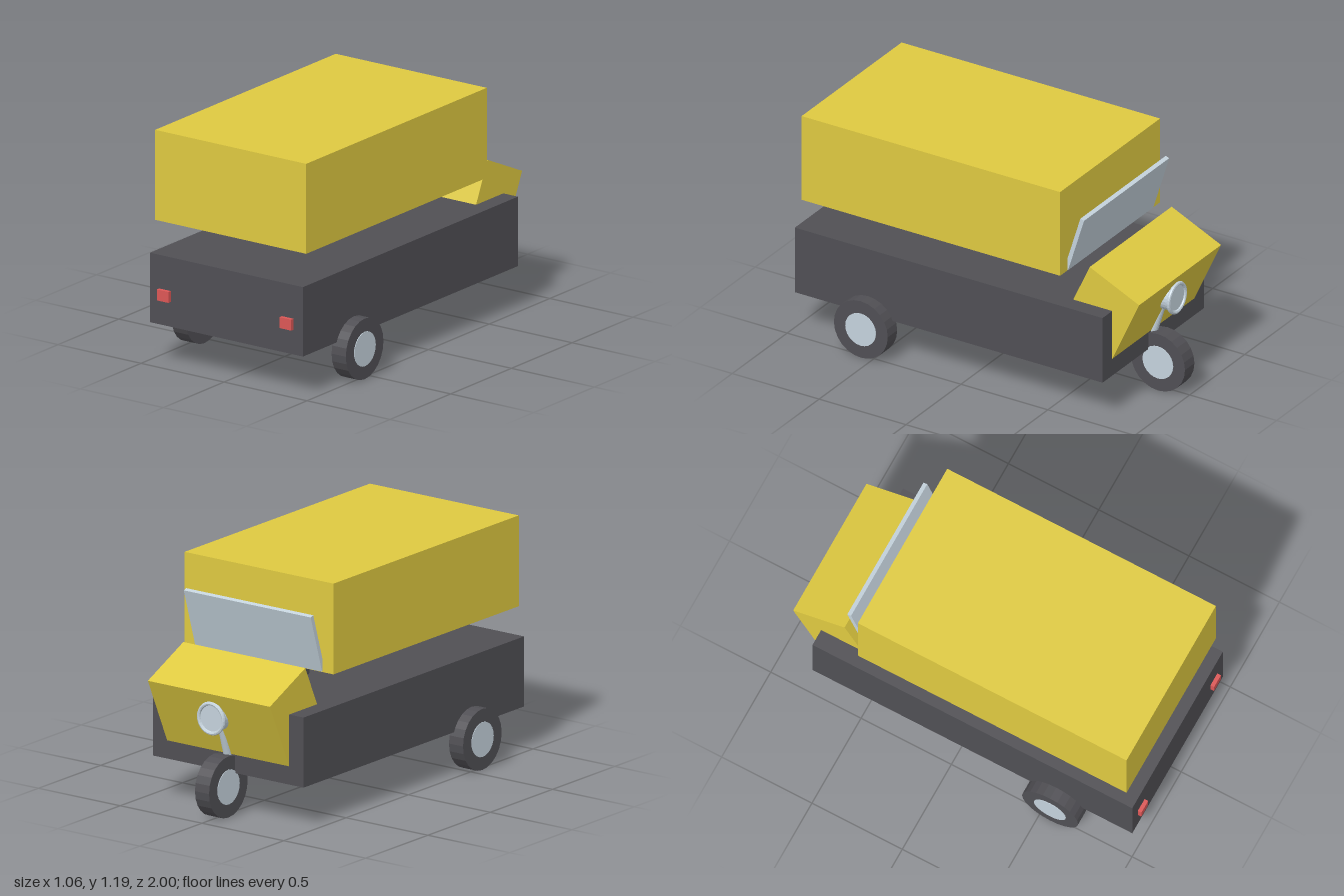
import * as THREE from 'three';

export function createModel() {
  const model = new THREE.Group();
  const material = (name, color) => {
    const m = new THREE.MeshStandardMaterial({ color, flatShading: true });
    m.name = name;
    return m;
  };
  const yellow = material('yellow paint', 0xdec940);
  const dark = material('dark grey', 0x504f54);
  const silver = material('pale silver', 0xc4d2dc);
  const red = material('red', 0xdc5756);

  const add = (name, geometry, mat, x = 0, y = 0, z = 0) => {
    const mesh = new THREE.Mesh(geometry, mat);
    mesh.name = name;
    mesh.position.set(x, y, z);
    model.add(mesh);
    return mesh;
  };
  const box = (w, h, d) => new THREE.BoxGeometry(w, h, d);
  const axleCylinder = (r, w) => new THREE.CylinderGeometry(r, r, w, 24).rotateZ(Math.PI / 2);

  // Lower body and canopy
  add('body', box(0.922, 0.355, 1.77), dark, 0, 0.3925, 0.095);
  add('canopy', box(0.91, 0.46, 1.487), yellow, 0, 0.96, 0.2015);

  // Tilted nose, set into the body
  const tilt = 0.43;
  const noseHeight = 0.45, noseDepth = 0.313;
  const nose = add('nose', box(0.746, noseHeight, noseDepth), yellow);
  nose.rotation.x = -tilt;
  const topMiddle = new THREE.Vector3(0, 0.71, -0.8025);
  const down = new THREE.Vector3(0, -Math.cos(tilt), Math.sin(tilt));
  nose.position.copy(topMiddle).addScaledVector(down, noseHeight / 2);

  // Windscreen, leaning outwards at the top
  const windscreen = add('windscreen', box(0.776, 0.31, 0.022), silver, 0, 0.884, -0.581);
  windscreen.rotation.x = -0.3;

  // Handlebar
  add('handlebar', axleCylinder(0.018, 0.43), dark, 0, 0.677, -0.437);

  // Front fork, rising forward into the nose
  const fork = add('fork', new THREE.CylinderGeometry(0.02, 0.02, 0.34, 16), silver, 0, 0.39, -0.821);
  fork.rotation.x = -0.3;

  // Headlight with rim
  add('headlight', new THREE.CylinderGeometry(0.07, 0.07, 0.075, 24).rotateX(Math.PI / 2),
    silver, 0, 0.515, -0.8885);
  add('headlightRim', new THREE.TorusGeometry(0.075, 0.01, 8, 28), silver, 0, 0.515, -0.926);

  // Wheels: one in front, two behind
  for (const [name, x, z] of [['front', 0, -0.845], ['left', 0.4825, 0.56], ['right', -0.4825, 0.56]]) {
    add(name + 'Tyre', axleCylinder(0.155, 0.086), dark, x, 0.157, z);
    add(name + 'Hub', axleCylinder(0.088, 0.092), silver, x, 0.157, z);
  }

  // Tail lights
  for (const side of [-1, 1])
    add('tailLight', box(0.07, 0.056, 0.04), red, side * 0.37, 0.37, 0.98);

  return model;
}
